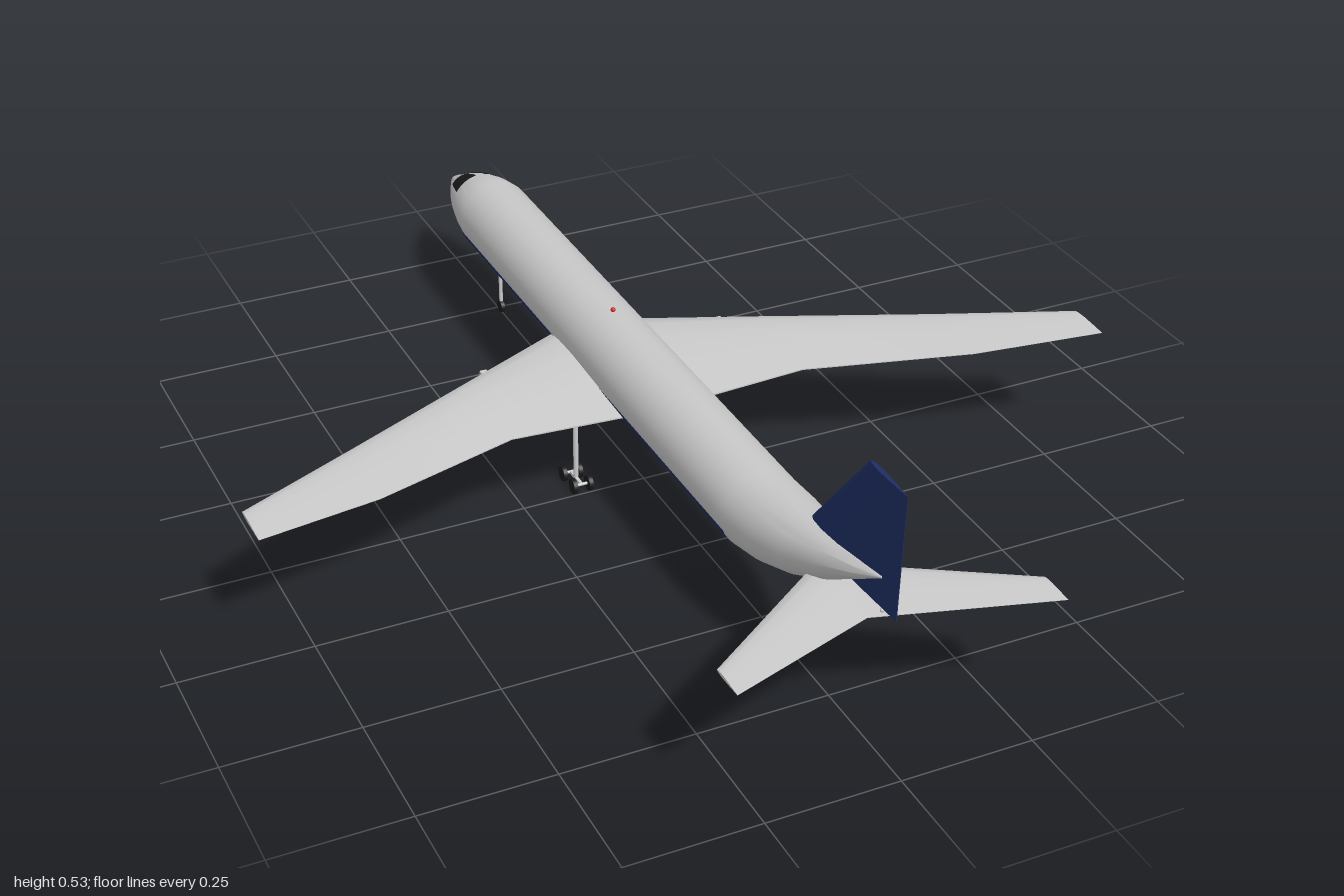
import * as THREE from 'three';
import { toCreasedNormals } from 'three/addons/utils/BufferGeometryUtils.js';

const V = (x, y, z) => new THREE.Vector3(x, y, z);
const mat = (color) => new THREE.MeshStandardMaterial({ color, side: THREE.DoubleSide });
const grey = mat(0xcccccc), navy = mat(0x1f2f66), black = mat(0x1a1a1a), red = mat(0xcc2222);

// Solid skinned over closed rings of points, with capped ends
function loft(rings, crease = 0.6) {
  const n = rings[0].length, last = rings.length - 1, pts = rings.flat(), idx = [];
  for (let i = 0; i < last; i++) {
    for (let j = 0; j < n; j++) {
      const a = i * n + j, b = i * n + (j + 1) % n;
      idx.push(a, b, a + n, b, b + n, a + n);
    }
  }
  for (let j = 1; j < n - 1; j++) {
    idx.push(0, j + 1, j, last * n, last * n + j, last * n + j + 1);
  }
  // turn the faces outward
  let volume = 0;
  for (let k = 0; k < idx.length; k += 3) {
    volume += pts[idx[k]].dot(V(0, 0, 0).crossVectors(pts[idx[k + 1]], pts[idx[k + 2]]));
  }
  if (volume < 0) idx.reverse();
  const g = new THREE.BufferGeometry().setFromPoints(pts);
  g.setIndex(idx);
  return toCreasedNormals(g, crease);
}

// Fuselage stations: z, top, bottom, half width
const stations = [
  [-1, 0.201, 0.199, 0.001], [-0.97, 0.219, 0.189, 0.015], [-0.93, 0.239, 0.177, 0.032],
  [-0.89, 0.259, 0.167, 0.047], [-0.85, 0.276, 0.158, 0.059], [-0.8, 0.291, 0.15, 0.07],
  [-0.75, 0.3, 0.145, 0.077], [0.49, 0.3, 0.145, 0.077], [0.57, 0.308, 0.163, 0.073],
  [0.66, 0.318, 0.195, 0.06], [0.75, 0.329, 0.242, 0.042], [0.84, 0.341, 0.3, 0.024],
  [0.91, 0.35, 0.345, 0.006],
];

// Point on the hull at length z and angle a from the top
function hull(z, a, grow = 1) {
  let i = 0;
  while (i < stations.length - 2 && z > stations[i + 1][0]) i++;
  const A = stations[i], B = stations[i + 1], t = (z - A[0]) / (B[0] - A[0]);
  const [top, bottom, w] = [1, 2, 3].map((k) => A[k] + (B[k] - A[k]) * t);
  return V(Math.sin(a) * w * grow, (top + bottom) / 2 + Math.cos(a) * (top - bottom) / 2 * grow, z);
}

// Thin panel lying on the hull
function hullPanel(z0, z1, a0, a1, side) {
  const g = new THREE.PlaneGeometry(1, 1, 8, 8), p = g.attributes.position;
  for (let i = 0; i < p.count; i++) {
    const u = p.getX(i) + 0.5, v = p.getY(i) + 0.5;
    const q = hull(z0 + (z1 - z0) * u, side * (a0 + (a1 - a0) * v), 1.015);
    p.setXYZ(i, q.x, q.y, q.z);
  }
  if (side < 0) g.index.array.reverse();
  g.computeVertexNormals();
  return g;
}

// Aerofoil outline: chord fraction and half thickness, over the top and back below
const foil = [[0, 0], [0.04, 0.25], [0.15, 0.44], [0.35, 0.5], [0.65, 0.32], [1, 0.04]];
const outline = [...foil, ...foil.slice(1).reverse().map(([c, h]) => [c, -h])];

// Surface from sections: span position, leading z, trailing z, height, thickness
const flyingSurface = (sections, side) => loft(sections.map(([x, z0, z1, y, t]) =>
  outline.map(([c, h]) => V(side * x, y + h * t, z0 + (z1 - z0) * c))));

export function createModel() {
  const model = new THREE.Group();
  const add = (name, geometry, material = grey, x = 0, y = 0, z = 0, parent = model) => {
    const mesh = new THREE.Mesh(geometry, material);
    mesh.name = name;
    mesh.position.set(x, y, z);
    parent.add(mesh);
    return mesh;
  };

  // Fuselage
  add('fuselage', loft(stations.map(([z]) =>
    Array.from({ length: 40 }, (_, j) => hull(z, j / 40 * Math.PI * 2)))));

  for (const side of [1, -1]) {
    const label = side > 0 ? 'left' : 'right';

    // Paint stripe and cockpit window
    add(label + 'Stripe', hullPanel(-0.75, 0.49, 1.87, 2.32, side), navy);
    add(label + 'CockpitWindow', hullPanel(-0.91, -0.83, 0.14, 1.02, side), black);

    // Main wing and tailplane
    add(label + 'Wing', flyingSurface([
      [0, -0.332, 0.055, 0.18, 0.042], [0.08, -0.283, 0.057, 0.188, 0.04],
      [0.3, -0.149, 0.075, 0.21, 0.028], [0.6, 0.034, 0.205, 0.24, 0.014],
      [0.84, 0.18, 0.275, 0.265, 0.007],
    ], side));
    add(label + 'Tailplane', flyingSurface([
      [0, 0.69, 0.865, 0.238, 0.016], [0.3, 0.92, 0.992, 0.266, 0.006],
    ], side));

    // Pylon below the wing
    add(label + 'Pylon', new THREE.BoxGeometry(0.014, 0.045, 0.115), grey, side * 0.25, 0.178, -0.137);

    // Main landing gear with a four-wheel bogie
    const gear = new THREE.Group();
    gear.name = label + 'MainGear';
    gear.position.set(side * 0.127, 0.015, -0.035);
    model.add(gear);
    add('strut', new THREE.CylinderGeometry(0.005, 0.005, 0.165, 12), grey, 0, 0.0875, 0, gear);
    add('bogieBeam', new THREE.BoxGeometry(0.006, 0.006, 0.05), grey, 0, 0, 0, gear);
    for (const z of [-0.025, 0.025]) {
      add('axle', new THREE.CylinderGeometry(0.003, 0.003, 0.034, 8), grey, 0, 0, z, gear).rotation.z = Math.PI / 2;
      for (const x of [-0.016, 0.016]) {
        add('wheel', new THREE.CylinderGeometry(0.015, 0.015, 0.008, 20), black, x, 0, z, gear).rotation.z = Math.PI / 2;
      }
    }
  }

  // Tail fin, sections from base to tip
  const finSections = [[0.29, 0.645, 0.955, 0.022], [0.32, 0.67, 0.956, 0.021], [0.533, 0.85, 0.967, 0.009]];
  add('tailFin', loft(finSections.map(([y, z0, z1, t]) =>
    outline.map(([c, h]) => V(h * t, y, z0 + (z1 - z0) * c)))), navy);

  // Belly nacelle with a dark core at the open rear
  const lathe = (points) => {
    const g = new THREE.LatheGeometry(points.map(([z, r]) => new THREE.Vector2(r, z)), 32);
    return toCreasedNormals(g.rotateX(Math.PI / 2), 0.6);
  };
  add('nacelle', lathe([[-0.245, 0.037], [-0.247, 0.042], [-0.235, 0.046], [-0.12, 0.046],
    [-0.08, 0.041], [-0.045, 0.032]]), grey, 0, 0.15, 0);
  add('nacelleIntake', lathe([[-0.235, 0], [-0.235, 0.037], [-0.245, 0.037]]), black, 0, 0.15, 0);
  add('exhaustCore', lathe([[-0.06, 0.031], [-0.04, 0.024], [0, 0.005], [0, 0]]), black, 0, 0.15, 0);

  // Nose landing gear
  add('noseStrut', new THREE.CylinderGeometry(0.004, 0.004, 0.145, 12), grey, 0, 0.0875, -0.73);
  add('noseWheel', new THREE.CylinderGeometry(0.013, 0.013, 0.008, 20), black, 0, 0.013, -0.73).rotation.z = Math.PI / 2;

  // Beacons
  add('topBeacon', new THREE.SphereGeometry(0.005, 12, 8), red, 0, 0.302, -0.14);
  add('tailLight', new THREE.SphereGeometry(0.004, 12, 8), grey, 0, 0.283, 0.91);
  return model;
}
